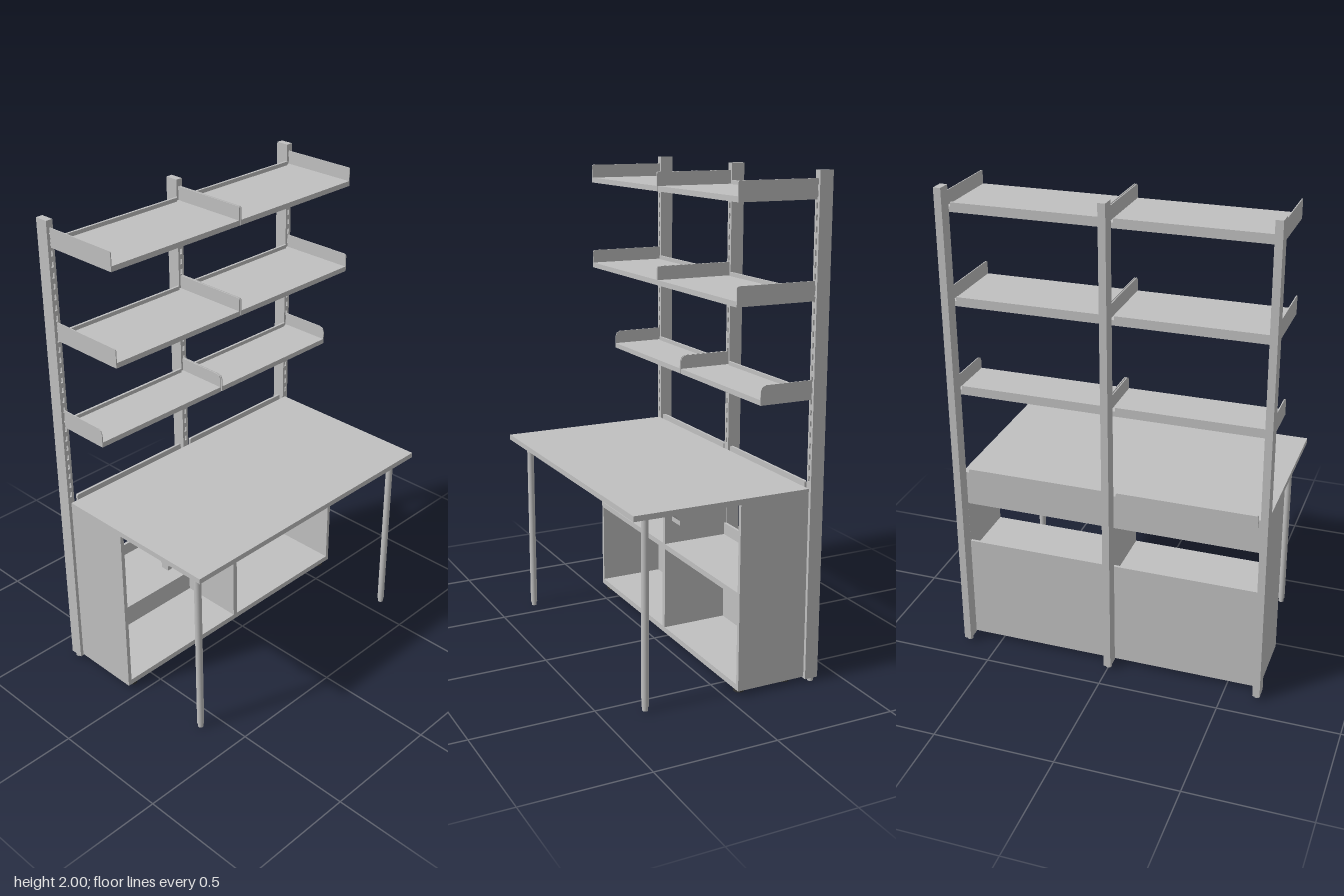
import * as THREE from 'three';

export function createModel() {
  const model = new THREE.Group();
  const grey = new THREE.MeshStandardMaterial({ color: 0xc0c0c0 });
  grey.name = 'light grey';
  const dark = new THREE.MeshStandardMaterial({ color: 0x333333 });
  dark.name = 'dark rubber';

  const add = (name, geo, mat = grey, parent = model) => {
    const mesh = new THREE.Mesh(geo, mat);
    mesh.name = name;
    parent.add(mesh);
    return mesh;
  };
  // box given by its limits on each axis
  const box = (name, x0, x1, y0, y1, z0, z1, parent = model) => {
    const mesh = add(name, new THREE.BoxGeometry(x1 - x0, y1 - y0, z1 - z0), grey, parent);
    mesh.position.set((x0 + x1) / 2, (y0 + y1) / 2, (z0 + z1) / 2);
    return mesh;
  };
  const rod = (name, x, z, y0, y1, r, mat = grey) => {
    const mesh = add(name, new THREE.CylinderGeometry(r, r, y1 - y0, 24), mat);
    mesh.position.set(x, (y0 + y1) / 2, z);
    return mesh;
  };
  // outline drawn as (z, y) and extruded along x
  const sidePlate = (name, points, x0, x1, parent = model) => {
    const shape = new THREE.Shape(points.map(([z, y]) => new THREE.Vector2(-z, y)));
    const geo = new THREE.ExtrudeGeometry(shape, { depth: x1 - x0, bevelEnabled: false });
    geo.rotateY(Math.PI / 2);
    geo.translate(x0, 0, 0);
    return add(name, geo, grey, parent);
  };

  // uprights with a slotted front face
  const POST = 0.637, HALF = 0.0148;
  for (const x of [-POST, 0, POST]) {
    const post = new THREE.Group();
    post.name = 'upright';
    model.add(post);
    box('uprightBody', x - HALF, x + HALF, 0.015, 2, -0.4, -0.353, post);
    const face = new THREE.Shape();
    face.moveTo(-HALF, 0.015);
    face.lineTo(HALF, 0.015);
    face.lineTo(HALF, 2);
    face.lineTo(-HALF, 2);
    for (let y = 0.84; y < 1.98; y += 0.043) {
      const slot = new THREE.Path();
      slot.moveTo(-0.005, y - 0.011);
      slot.lineTo(-0.005, y + 0.011);
      slot.lineTo(0.005, y + 0.011);
      slot.lineTo(0.005, y - 0.011);
      face.holes.push(slot);
    }
    const front = add('slottedFace',
      new THREE.ExtrudeGeometry(face, { depth: 0.01, bevelEnabled: false }), grey, post);
    front.position.set(x, 0, -0.353);
    rod('uprightFoot', x, -0.376, 0, 0.015, 0.012);
  }

  // wall shelves: two bays per level, each with end plates and a back lip
  const levels = [[1.895, -0.012, 0.006], [1.523, -0.012, 0.008], [1.15, -0.12, 0.022]];
  for (const [y, front, corner] of levels) {
    for (const s of [-1, 1]) {
      const shelf = new THREE.Group();
      shelf.name = 'shelf';
      model.add(shelf);
      const mid = s * 0.32;
      box('shelfBoard', mid - 0.315, mid + 0.315, y, y + 0.021, -0.343, front, shelf);
      box('shelfBackLip', mid - 0.296, mid + 0.296, y + 0.021, y + 0.037, -0.343, -0.333, shelf);
      const top = y + 0.076;
      const outline = [[-0.343, y], [front, y], [front, top - corner],
        [front - corner * 0.3, top - corner * 0.3], [front - corner, top], [-0.343, top]];
      for (const e of [-1, 1]) {
        const x = mid + e * 0.316;
        sidePlate('shelfEndPlate', outline, x - 0.002, x + 0.002, shelf);
      }
    }
  }

  // desk top and its back lips
  box('deskTop', -0.638, 0.638, 0.778, 0.8, -0.343, 0.4);
  for (const s of [-1, 1]) {
    const lip = new THREE.Shape();
    const w = 0.287, h = 0.822, c = 0.008;
    lip.moveTo(-w, 0.77);
    lip.lineTo(w, 0.77);
    lip.lineTo(w, h - c);
    lip.quadraticCurveTo(w, h, w - c, h);
    lip.lineTo(-w + c, h);
    lip.quadraticCurveTo(-w, h, -w, h - c);
    add('deskBackLip', new THREE.ExtrudeGeometry(lip, { depth: 0.01, bevelEnabled: false }))
      .position.set(s * 0.316, 0, -0.355);
  }

  // cabinet under the back of the desk
  const FRONT = -0.045, BACK = -0.343;
  box('cabinetBottom', -0.638, 0.638, 0.021, 0.045, BACK, FRONT);
  box('cabinetDivider', -0.01, 0.01, 0.045, 0.778, BACK, FRONT);
  for (const s of [-1, 1]) {
    box('cabinetSide', s * 0.63 - 0.008, s * 0.63 + 0.008, 0.045, 0.778, BACK, FRONT);
    const mid = s * 0.316;
    box('cabinetShelf', mid - 0.306, mid + 0.306, 0.4, 0.423, BACK + 0.012, FRONT);
    box('lowerBackPanel', mid - 0.306, mid + 0.306, 0.045, 0.474, BACK, BACK + 0.012);
    box('upperBackPanel', mid - 0.306, mid + 0.306, 0.655, 0.778, BACK, BACK + 0.012);
    for (const z of [-0.073, -0.278]) {
      rod('cabinetFoot', s * 0.595, z, 0.003, 0.021, 0.022, dark);
    }
  }

  // front legs
  for (const s of [-1, 1]) {
    rod('deskLeg', s * 0.58, 0.327, 0.018, 0.778, 0.0145);
    rod('deskLegFoot', s * 0.58, 0.327, 0, 0.018, 0.011);
  }

  // rail under the desk with a tapered bracket at each end
  box('underDeskRail', -0.55, 0.55, 0.737, 0.778, 0.178, 0.19);
  const bracket = [[0.148, 0.778], [0.148, 0.768], [0.166, 0.745], [0.166, 0.727],
    [0.2, 0.727], [0.2, 0.745], [0.218, 0.768], [0.218, 0.778]];
  for (const s of [-1, 1]) sidePlate('railBracket', bracket, s * 0.582 - 0.032, s * 0.582 + 0.032);

  return model;
}
